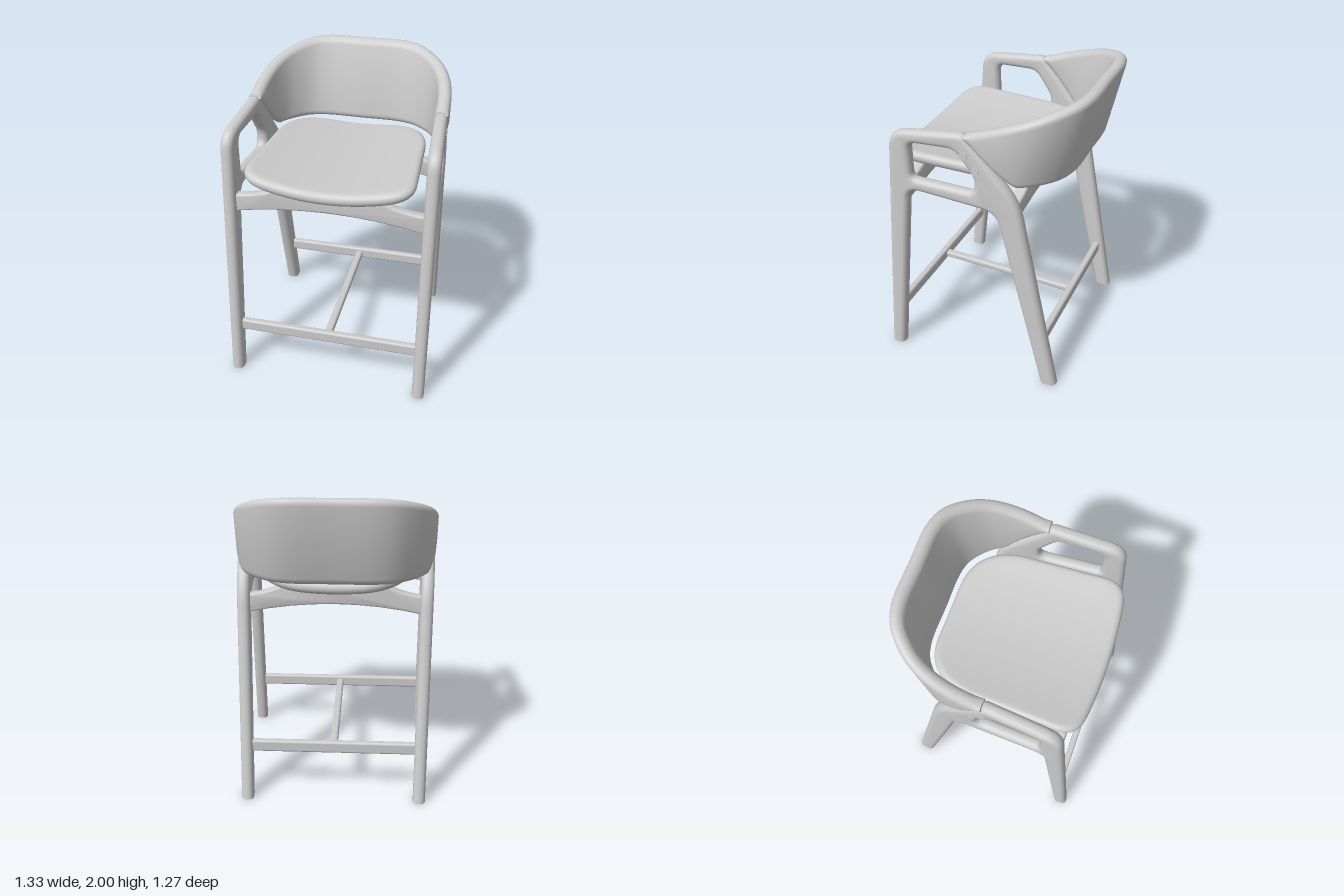
import * as THREE from 'three';
import { mergeVertices, toCreasedNormals } from 'three/addons/utils/BufferGeometryUtils.js';
import { RoundedBoxGeometry } from 'three/addons/geometries/RoundedBoxGeometry.js';

const grey = new THREE.MeshStandardMaterial({ color: 0xcccccc });
grey.name = 'light grey';

// Closed path through [x, y, cornerRadius] points with rounded corners
function roundedPath(path, pts) {
  const v = pts.map(p => new THREE.Vector2(p[0], p[1]));
  const n = v.length;
  v.forEach((p, i) => {
    const r = pts[i][2] || 0;
    const a = p.clone().add(v[(i + n - 1) % n].clone().sub(p).setLength(r));
    const b = p.clone().add(v[(i + 1) % n].clone().sub(p).setLength(r));
    if (i === 0) path.moveTo(a.x, a.y); else path.lineTo(a.x, a.y);
    if (r > 0) path.quadraticCurveTo(p.x, p.y, b.x, b.y);
  });
  path.closePath();
  return path;
}

// Extrusion with round edges that keeps its drawn outline, centred in depth
function roundExtrude(shape, width, bevel) {
  const depth = width - 2 * bevel;
  const g = new THREE.ExtrudeGeometry(shape, {
    depth, bevelEnabled: true, bevelThickness: bevel, bevelSize: bevel,
    bevelOffset: -bevel, bevelSegments: 5, curveSegments: 8,
  });
  return g.translate(0, 0, -depth / 2);
}

function smooth(g, crease = 0.7) {
  g.deleteAttribute('uv');
  g.deleteAttribute('normal');
  return toCreasedNormals(mergeVertices(g, 1e-4), crease);
}

// Skin over closed rings of points, with both ends capped
function loft(rings) {
  const n = rings[0].length, pos = [], idx = [];
  rings.forEach(r => r.forEach(p => pos.push(p.x, p.y, p.z)));
  for (let i = 0; i < rings.length - 1; i++) {
    for (let j = 0; j < n; j++) {
      const a = i * n + j, b = i * n + (j + 1) % n;
      idx.push(a, b, a + n, b, b + n, a + n);
    }
  }
  [0, rings.length - 1].forEach((k, end) => {
    const c = new THREE.Vector3();
    rings[k].forEach(p => c.addScaledVector(p, 1 / n));
    const ci = pos.length / 3;
    pos.push(c.x, c.y, c.z);
    for (let j = 0; j < n; j++) {
      const a = k * n + j, b = k * n + (j + 1) % n;
      if (end) idx.push(ci, a, b); else idx.push(ci, b, a);
    }
  });
  const g = new THREE.BufferGeometry();
  g.setAttribute('position', new THREE.Float32BufferAttribute(pos, 3));
  g.setIndex(idx);
  return toCreasedNormals(g, 0.8);
}

const frameX = z => 0.592 + 0.056 * z;

// Side frame: two legs, armrest and seat rail in one piece, drawn as [z, y, radius]
function sideFrameGeometry(side) {
  const flip = pts => pts.map(([z, y, r]) => [-z, y, r]);
  const shape = roundedPath(new THREE.Shape(), flip([
    [0.638, -0.04], [0.502, 1.715, 0.11], [0.03, 1.777, 0.03], [-0.305, 1.39, 0.13],
    [-0.577, -0.04], [-0.47, -0.04], [-0.165, 1.29, 0.09], [0.4, 1.33, 0.08], [0.543, -0.04],
  ]));
  shape.holes.push(roundedPath(new THREE.Path(), flip([
    [0.375, 1.652, 0.05], [0.375, 1.41, 0.04], [-0.03, 1.4, 0.05],
    [-0.035, 1.5, 0.04], [0.085, 1.668, 0.05],
  ])));
  const g = roundExtrude(shape, 0.08, 0.035).rotateY(Math.PI / 2);
  const p = g.attributes.position;
  for (let i = 0; i < p.count; i++) {
    p.setX(i, p.getX(i) + side * frameX(p.getZ(i)));
    p.setY(i, Math.max(0, p.getY(i)));
  }
  return smooth(g);
}

// Seat: rounded outline, soft edge, dished across its width
function seatGeometry() {
  const s = new THREE.Shape();
  s.moveTo(0.5, 0.05);
  s.bezierCurveTo(0.495, 0.28, 0.4, 0.44, 0.17, 0.44);
  s.lineTo(-0.17, 0.44);
  s.bezierCurveTo(-0.4, 0.44, -0.495, 0.28, -0.5, 0.05);
  s.lineTo(-0.522, -0.42);
  s.bezierCurveTo(-0.525, -0.53, -0.48, -0.57, -0.38, -0.585);
  s.quadraticCurveTo(0, -0.635, 0.38, -0.585);
  s.bezierCurveTo(0.48, -0.57, 0.525, -0.53, 0.522, -0.42);
  s.closePath();
  const outline = s.getSpacedPoints(96).slice(0, 96);
  const profile = [[0.03, 0], [0.3, 0], [0.6, 0], [0.85, 0]];
  for (let i = 0; i <= 10; i++) {
    const a = -Math.PI / 2 + Math.PI * i / 10;
    profile.push([0.92 + 0.08 * Math.cos(a), 0.04 + 0.04 * Math.sin(a)]);
  }
  profile.push([0.85, 0.08], [0.6, 0.08], [0.3, 0.08], [0.03, 0.08]);
  return loft(profile.map(([k, h]) => outline.map(p => {
    const x = p.x * k, z = 0.08 + (-p.y - 0.08) * k;
    return new THREE.Vector3(x, 1.372 + h + 0.24 * x * x, z);
  })));
}

// Backrest: wall swept round a U-shaped plan, leaning back, tapering to the arms
function backrestGeometry() {
  const half = [[0.595, 0.08], [0.59, -0.08], [0.568, -0.2], [0.522, -0.305],
    [0.45, -0.39], [0.36, -0.455], [0.25, -0.485]];
  const plan = [...half, [0, -0.487], ...half.slice().reverse().map(([x, z]) => [-x, z])];
  const curve = new THREE.CatmullRomCurve3(plan.map(([x, z]) => new THREE.Vector3(x, 0, z)));
  const up = new THREE.Vector3(0, 1, 0), rings = [];
  for (let i = 0; i <= 72; i++) {
    const c = curve.getPointAt(i / 72);
    const out = curve.getTangentAt(i / 72).cross(up).normalize();
    const top = (1.671 - 0.36 * c.z) / 0.924;
    const bottom = 1.465 + Math.max(0, (c.z + 0.26) / 0.34) * 0.28;
    const h = (top - bottom) / 2, r = Math.min(0.042, h);
    const ring = [];
    for (const end of [1, -1]) {
      for (let k = 0; k <= 8; k++) {
        const a = (end > 0 ? -0.5 : 0.5) * Math.PI + Math.PI * k / 8;
        const p = c.clone().addScaledVector(out, 0.043 * Math.sin(a));
        p.y = (top + bottom) / 2 + end * (h - r) + r * Math.cos(a);
        p.z -= 0.21 * (p.y - 1.47);
        ring.push(p);
      }
    }
    rings.push(ring);
  }
  return loft(rings);
}

// Arched rail that rises to carry the seat
function seatRailGeometry(halfLength, width) {
  const s = new THREE.Shape();
  s.moveTo(-halfLength, 1.195);
  s.quadraticCurveTo(0, 1.32, halfLength, 1.195);
  s.lineTo(halfLength, 1.315);
  s.bezierCurveTo(0.45, 1.33, 0.4, 1.345, 0.3, 1.398);
  s.quadraticCurveTo(0, 1.385, -0.3, 1.398);
  s.bezierCurveTo(-0.4, 1.345, -0.45, 1.33, -halfLength, 1.315);
  return smooth(roundExtrude(s, width, 0.015));
}

export function createModel() {
  const model = new THREE.Group();
  model.name = 'barStool';
  const add = (name, geometry, x = 0, y = 0, z = 0) => {
    const mesh = new THREE.Mesh(geometry, grey);
    mesh.name = name;
    mesh.position.set(x, y, z);
    model.add(mesh);
    return mesh;
  };

  for (const side of [1, -1]) {
    const label = side > 0 ? 'left' : 'right';
    add(label + 'SideFrame', sideFrameGeometry(side));
    // Plugs over the backrest fixings
    for (const [z, y] of [[0.02, 1.645], [-0.05, 1.555]]) {
      const plug = new THREE.CylinderGeometry(0.026, 0.026, 0.008, 20).rotateZ(Math.PI / 2);
      add(label + 'FixingPlug', plug, side * (frameX(z) + 0.039), y, z);
    }
  }

  add('seat', seatGeometry());
  add('backrest', backrestGeometry());
  add('frontSeatRail', seatRailGeometry(0.6, 0.06), 0, 0, 0.47);
  add('rearSeatRail', seatRailGeometry(0.56, 0.07), 0, 0, -0.235);

  // Footrest and stretchers
  add('footrest', new RoundedBoxGeometry(1.2, 0.08, 0.045, 3, 0.015), 0, 0.345, 0.55);
  add('rearStretcher', new RoundedBoxGeometry(1.1, 0.08, 0.045, 3, 0.015), 0, 0.345, -0.455);
  add('middleStretcher', new RoundedBoxGeometry(0.05, 0.045, 1.0, 3, 0.015), 0, 0.342, 0.048);
  return model;
}
